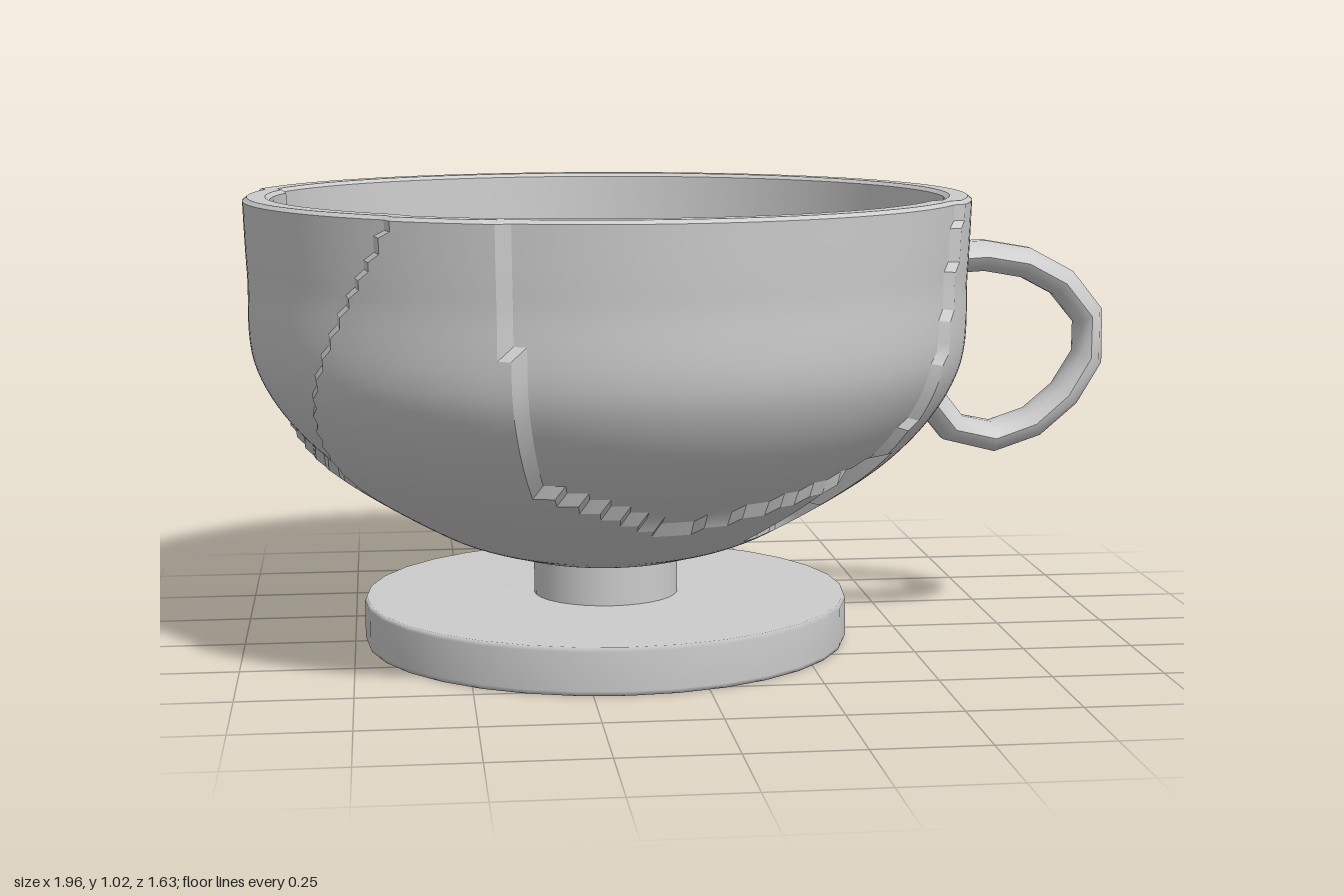
import * as THREE from 'three';
import { toCreasedNormals } from 'three/addons/utils/BufferGeometryUtils.js';

const CX = -0.175; // axis of bowl and foot
const V = (x, y) => new THREE.Vector2(x, y);

// Shifted shards: outlines as [degrees from the front towards +x, height], and inward shift
const shards = [
  { name: 'front', shift: 0.018, outline: [[-20, 1.2], [-20, 1.02], [-17, 0.62], [-16, 0.45], [11, 0.33], [39, 0.4], [55, 0.45], [57, 0.64], [65, 1.02], [65, 1.2]] },
  { name: 'side', shift: 0.02, outline: [[-108, 1.2], [-106, 0.58], [-90, 0.48], [-68, 0.38], [-55, 0.62], [-47, 0.8], [-36, 1.02], [-36, 1.2]] },
  { name: 'small', shift: 0.035, outline: [[45, 0.27], [45, 0.41], [56, 0.46], [59, 0.29]] },
  { name: 'back', shift: 0.045, outline: [[190, 0.4], [191, 0.7], [170, 0.77], [150, 0.68], [157, 0.36]] },
];

function inside(outline, a, y) {
  let hit = false;
  for (let i = 0, j = outline.length - 1; i < outline.length; j = i++) {
    const [a1, y1] = outline[i], [a2, y2] = outline[j];
    if ((y1 > y) !== (y2 > y) && a < ((a2 - a1) * (y - y1)) / (y2 - y1) + a1) hit = !hit;
  }
  return hit;
}

function shiftAt(deg, y) {
  let s = 0;
  for (const { outline, shift } of shards)
    if ([deg, deg - 360].some((a) => inside(outline, a, y))) s = Math.max(s, shift);
  return s;
}

// Bowl wall: outer profile up, rim, inner profile down, with shards pushed inward
function bowlGeometry() {
  const outer = new THREE.SplineCurve([V(0.15, 0.19), V(0.24, 0.21), V(0.4, 0.27), V(0.66, 0.44), V(0.8, 0.63), V(0.818, 0.85), V(0.825, 1.012)]).getPoints(60);
  const inner = new THREE.SplineCurve([V(0.1, 0.25), V(0.2, 0.265), V(0.36, 0.325), V(0.61, 0.48), V(0.74, 0.65), V(0.757, 0.85), V(0.765, 1.012)]).getPoints(60);
  const rows = [];
  outer.forEach((p) => rows.push([p, p.y]));
  rows.push([V(0.815, 1.02), 1.02], [V(0.775, 1.02), 1.02]);
  for (let i = 60; i >= 0; i--) rows.push([inner[i], outer[i].y]);
  rows.push([V(0, 0.245), 0.19]);

  const n = 180, pos = [], index = [];
  for (const [p, key] of rows) {
    for (let i = 0; i < n; i++) {
      const deg = (i * 360) / n, a = THREE.MathUtils.degToRad(deg);
      const dir = V(-p.x, Math.max(0, 1.0 - p.y)).normalize();
      const s = shiftAt(deg, key);
      const r = p.x + dir.x * s;
      pos.push(r * Math.sin(a), p.y + dir.y * s, r * Math.cos(a));
    }
  }
  for (let j = 0; j < rows.length - 1; j++) {
    for (let i = 0; i < n; i++) {
      const k = (i + 1) % n, a = j * n + i, b = j * n + k;
      index.push(a, b, b + n, a, b + n, a + n);
    }
  }
  const g = new THREE.BufferGeometry();
  g.setAttribute('position', new THREE.Float32BufferAttribute(pos, 3));
  g.setIndex(index);
  return toCreasedNormals(g, 0.5);
}

export function createModel() {
  const group = new THREE.Group();
  const mat = new THREE.MeshStandardMaterial({ color: 0xcccccc, side: THREE.DoubleSide });
  const add = (name, geometry, x = 0, y = 0) => {
    const mesh = new THREE.Mesh(geometry, mat);
    mesh.name = name;
    mesh.position.set(x, y, 0);
    group.add(mesh);
    return mesh;
  };

  add('bowl', bowlGeometry(), CX);

  // Round foot and the stem that carries the bowl
  add('foot', new THREE.LatheGeometry([V(0, 0), V(0.548, 0), V(0.552, 0.01), V(0.552, 0.095), V(0.548, 0.105), V(0, 0.105)], 32), CX);
  add('stem', new THREE.CylinderGeometry(0.165, 0.165, 0.11, 32), CX, 0.155);
  add('stemKnob', new THREE.CylinderGeometry(0.1, 0.145, 0.035, 32), CX, 0.267);

  // Ear-shaped handle, wider than it is thick
  const path = new THREE.CatmullRomCurve3(
    [[0.6, 0.865], [0.73, 0.868], [0.87, 0.82], [0.962, 0.69], [0.885, 0.53], [0.76, 0.455], [0.65, 0.46], [0.57, 0.55]]
      .map(([x, y]) => new THREE.Vector3(x, y, 0)));
  const handle = new THREE.TubeGeometry(path, 10, 0.037, 10);
  const p = handle.attributes.position;
  for (let i = 0; i < p.count; i++) {
    const flare = 1.2 + 0.45 * Math.abs(Math.floor(i / 11) / 5 - 1);
    p.setZ(i, p.getZ(i) * flare);
  }
  handle.computeVertexNormals();
  add('handle', handle);

  return group;
}
